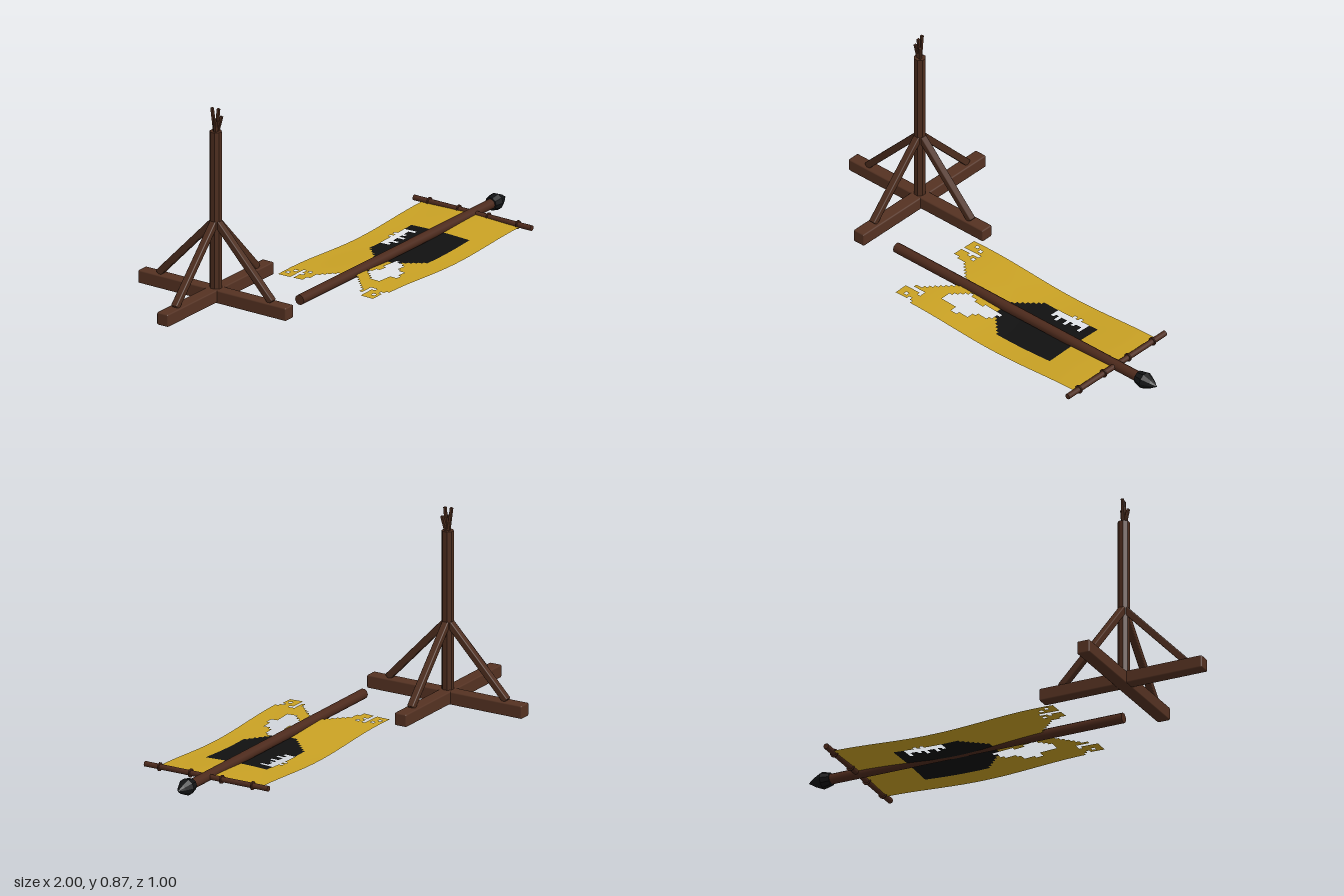
import * as THREE from 'three';
import { RoundedBoxGeometry } from 'three/addons/geometries/RoundedBoxGeometry.js';

const mat = (name, color, side = THREE.FrontSide) => {
  const m = new THREE.MeshStandardMaterial({ color, side });
  m.name = name;
  return m;
};

// point-in-polygon test for the cloth pattern
function inside(poly, x, z) {
  let hit = false;
  for (let i = 0, j = poly.length - 1; i < poly.length; j = i++) {
    const [ax, az] = poly[i], [bx, bz] = poly[j];
    if ((az > z) !== (bz > z) && x < ((bx - ax) * (z - az)) / (bz - az) + ax) hit = !hit;
  }
  return hit;
}

const faceted = (g) => {
  const f = g.toNonIndexed();
  f.computeVertexNormals();
  return f;
};

export function createModel() {
  const root = new THREE.Group();
  root.name = 'brokenBanner';
  const beamWood = mat('beamWood', 0x553222);
  const postWood = mat('postWood', 0x4d2d1e);
  const poleWood = mat('poleWood', 0x4d2a1c);
  const iron = mat('blackIron', 0x121314);
  const gold = mat('goldCloth', 0xcaa224, THREE.DoubleSide);
  const black = mat('blackCloth', 0x111111, THREE.DoubleSide);

  const add = (parent, name, geo, material, x = 0, y = 0, z = 0) => {
    const m = new THREE.Mesh(geo, material);
    m.name = name;
    m.position.set(x, y, z);
    parent.add(m);
    return m;
  };
  // bevelled timber running from a to b
  const timber = (parent, name, a, b, w, material, bevel = 0.15) => {
    const p = new THREE.Vector3(...a), q = new THREE.Vector3(...b);
    const d = q.clone().sub(p);
    const m = add(parent, name, new RoundedBoxGeometry(w, d.length(), w, 1, w * bevel), material);
    m.position.copy(p).add(q).multiplyScalar(0.5);
    m.quaternion.setFromUnitVectors(new THREE.Vector3(0, 1, 0), d.normalize());
    return m;
  };

  // ---- stand: crossed base, snapped post, four braces ----
  const stand = new THREE.Group();
  stand.name = 'stand';
  stand.position.set(-0.622, 0, -0.122);
  root.add(stand);
  add(stand, 'baseBeamAcross', new RoundedBoxGeometry(0.756, 0.056, 0.058, 1, 0.006), beamWood, 0, 0.044, -0.002);
  add(stand, 'baseBeamDeep', new RoundedBoxGeometry(0.058, 0.058, 0.76, 1, 0.006), beamWood, 0, 0.042, 0);
  const post = new THREE.CylinderGeometry(0.026, 0.026, 0.745, 8);
  post.rotateY(Math.PI / 8);
  add(stand, 'post', faceted(post), postWood, 0, 0.3975, 0);
  for (const [x, z] of [[1, 0], [-1, 0], [0, 1], [0, -1]]) {
    timber(stand, 'brace', [x * 0.29, 0.072, z * 0.29], [x * 0.01, 0.365, z * 0.01], 0.03, postWood);
  }
  // splinters on the snapped end
  for (const [x, y, z] of [[0.003, 0.872, 0.012], [-0.003, 0.872, -0.017], [0.017, 0.835, 0.018], [-0.018, 0.832, 0.008]]) {
    timber(stand, 'splinter', [x * 0.2, 0.75, z * 0.1], [x, y, z], 0.012, postWood);
  }

  // ---- fallen pole with pointed tip ----
  const pole = new THREE.CylinderGeometry(0.0225, 0.0225, 1.37, 10);
  pole.rotateZ(-Math.PI / 2);
  add(root, 'pole', pole, poleWood, 0.22, 0.037, 0.195);
  const tip = new THREE.LatheGeometry(
    [[0, 0], [0.029, 0], [0.037, 0.038], [0.02, 0.075], [0, 0.105]].map(([r, y]) => new THREE.Vector2(r, y)), 10);
  tip.rotateZ(-Math.PI / 2);
  add(root, 'poleTip', faceted(tip), iron, 0.895, 0.037, 0.195);

  // ---- crossbar with cord rings ----
  const bar = new THREE.CylinderGeometry(0.0125, 0.0125, 0.605, 8);
  bar.rotateX(Math.PI / 2);
  add(root, 'crossbar', bar, poleWood, 0.77, 0.037, 0.195);
  for (let i = 0; i < 4; i++) {
    const ring = new THREE.CylinderGeometry(0.019, 0.019, 0.006, 10);
    ring.rotateX(Math.PI / 2);
    add(root, 'cordRing', ring, poleWood, 0.77, 0.037, -0.03 + i * 0.152);
  }

  // ---- torn, rippled cloth made of square cells ----
  const NX = 64, NZ = 32, X0 = -0.262, X1 = 0.757, Z0 = -0.062, Z1 = 0.442;
  const emblem = [[0.53, 0.045], [0.53, 0.345], [0.235, 0.345], [0.135, 0.25], [0.135, 0.16], [0.235, 0.045]];
  const tears = [
    [[-0.3, 0.065], [-0.2, 0.075], [-0.09, 0.18], [-0.09, 0.21], [-0.155, 0.275], [-0.2, 0.335], [-0.3, 0.35]], // swallowtail
    [[-0.3, 0.003], [-0.165, 0.003], [-0.165, 0.022], [-0.3, 0.022]],
    [[-0.3, 0.343], [-0.165, 0.343], [-0.165, 0.362], [-0.3, 0.362]],
    [[-0.3, 0.427], [-0.165, 0.427], [-0.165, 0.45], [-0.3, 0.45]],
    [[-0.09, 0.3], [-0.05, 0.255], [-0.01, 0.225], [0.045, 0.255], [0.11, 0.23], [0.16, 0.245],
      [0.135, 0.295], [0.085, 0.305], [0.06, 0.35], [0, 0.36], [-0.02, 0.33], [-0.075, 0.34]], // ragged hole
    [[0.31, 0.055], [0.48, 0.055], [0.48, 0.083], [0.31, 0.083]],
  ];
  // short slashes crossing the tear in the emblem
  for (const [x, a, b] of [[0.32, 0.05, 0.1], [0.355, 0.045, 0.115], [0.395, 0.025, 0.105], [0.43, 0.03, 0.1], [0.475, 0.045, 0.11]]) {
    tears.push([[x - 0.009, a], [x + 0.009, a], [x + 0.009, b], [x - 0.009, b]]);
  }
  const pos = [], cells = [[], []];
  for (let i = 0; i <= NX; i++) {
    for (let j = 0; j <= NZ; j++) {
      const x = X0 + ((X1 - X0) * i) / NX, z = Z0 + ((Z1 - Z0) * j) / NZ;
      const y = 0.025 + 0.01 * Math.cos((x - 0.78) * 6.6) + 0.003 * Math.cos((z - 0.19) * 12);
      pos.push(x, y, z);
    }
  }
  for (let i = 0; i < NX; i++) {
    for (let j = 0; j < NZ; j++) {
      const x = X0 + ((X1 - X0) * (i + 0.5)) / NX, z = Z0 + ((Z1 - Z0) * (j + 0.5)) / NZ;
      const frayed = i > 0 && i < 6 && (z < 0.06 || z > 0.365) && (i * 2 + j * 3) % 7 === 0;
      if (frayed || tears.some((t) => inside(t, x, z))) continue;
      const a = i * (NZ + 1) + j, b = a + NZ + 1;
      cells[inside(emblem, x, z) ? 1 : 0].push(a, a + 1, b, b, a + 1, b + 1);
    }
  }
  const cloth = new THREE.BufferGeometry();
  cloth.setAttribute('position', new THREE.Float32BufferAttribute(pos, 3));
  cloth.setIndex([...cells[0], ...cells[1]]);
  cloth.addGroup(0, cells[0].length, 0);
  cloth.addGroup(cells[0].length, cells[1].length, 1);
  cloth.computeVertexNormals();
  add(root, 'cloth', cloth, [gold, black]);

  return root;
}
